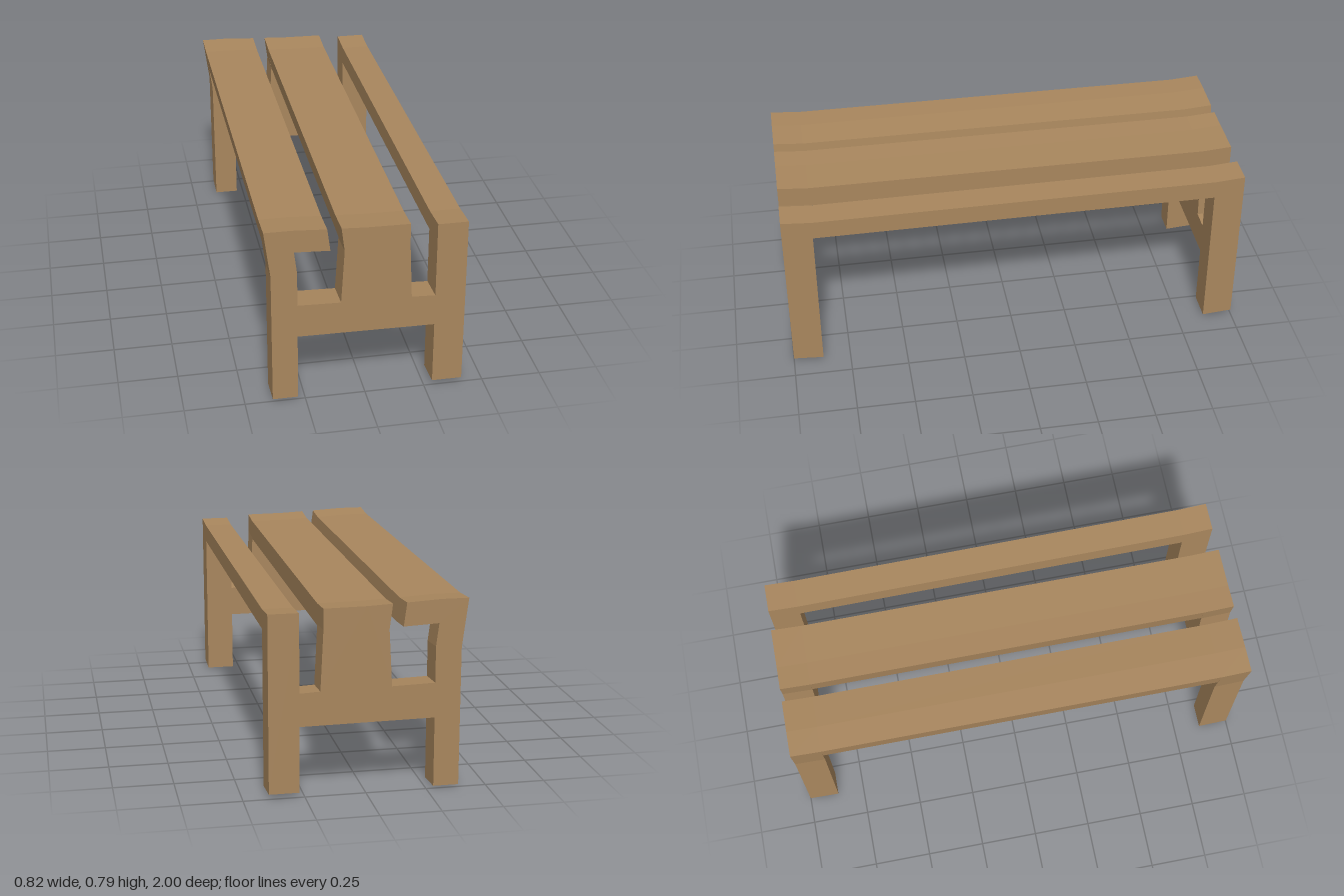
import * as THREE from 'three';

// Half length, and inner face of the end frames
const OUT = 1, INN = 0.87;

// Cross-sections in x, y
const FRAME = [
  [-0.385, 0.012], [-0.28, 0.012], [-0.28, 0.304], [0.285, 0.298],
  [0.285, 0.022], [0.41, 0.022], [0.41, 0.763], [0.285, 0.763],
  [0.285, 0.436], [0.187, 0.44], [0.175, 0.69], [0.175, 0.776],
  [0, 0.778], [-0.103, 0.783], [-0.09, 0.68], [-0.103, 0.445],
  [-0.28, 0.45], [-0.28, 0.6], [-0.292, 0.695], [-0.147, 0.688],
  [-0.16, 0.785], [-0.3, 0.793], [-0.412, 0.793], [-0.386, 0.592],
];
const SLATS = {
  leftEdgeSlat: [[-0.398, 0.69], [-0.292, 0.695], [-0.147, 0.688], [-0.16, 0.785], [-0.3, 0.793], [-0.412, 0.793]],
  middleSlat: [[-0.09, 0.685], [0.175, 0.685], [0.175, 0.776], [0, 0.778], [-0.103, 0.783]],
  rightEdgeSlat: [[0.285, 0.682], [0.41, 0.682], [0.41, 0.763], [0.285, 0.763]],
};

// Extrude a section between two depths, then bend it: the ends lift
// slightly and the far end of the right side leans inward.
function sweep(points, z0, z1) {
  const shape = new THREE.Shape(points.map(([x, y]) => new THREE.Vector2(x, y)));
  const geo = new THREE.ExtrudeGeometry(shape, { depth: z1 - z0, bevelEnabled: false });
  geo.translate(0, 0, z0);
  const p = geo.attributes.position;
  for (let i = 0; i < p.count; i++) {
    const x = p.getX(i), z = p.getZ(i);
    const lift = 0.01 * (Math.abs(z) - OUT) / (OUT - INN);
    p.setY(i, p.getY(i) + lift);
    if (x > 0.25) p.setX(i, x - 0.007 * (OUT - z));
  }
  geo.computeVertexNormals();
  return geo;
}

export function createModel() {
  const bench = new THREE.Group();
  bench.name = 'bench';
  const wood = new THREE.MeshStandardMaterial({ color: 0xa8865d });
  wood.name = 'wood';

  const add = (name, geo) => {
    const mesh = new THREE.Mesh(geo, wood);
    mesh.name = name;
    bench.add(mesh);
  };

  // End frames: legs, cross rail and upright supports
  add('frontFrame', sweep(FRAME, INN, OUT));
  add('backFrame', sweep(FRAME, -OUT, -INN));

  // Seat slats between the frames
  for (const [name, section] of Object.entries(SLATS)) add(name, sweep(section, -INN, INN));

  return bench;
}
